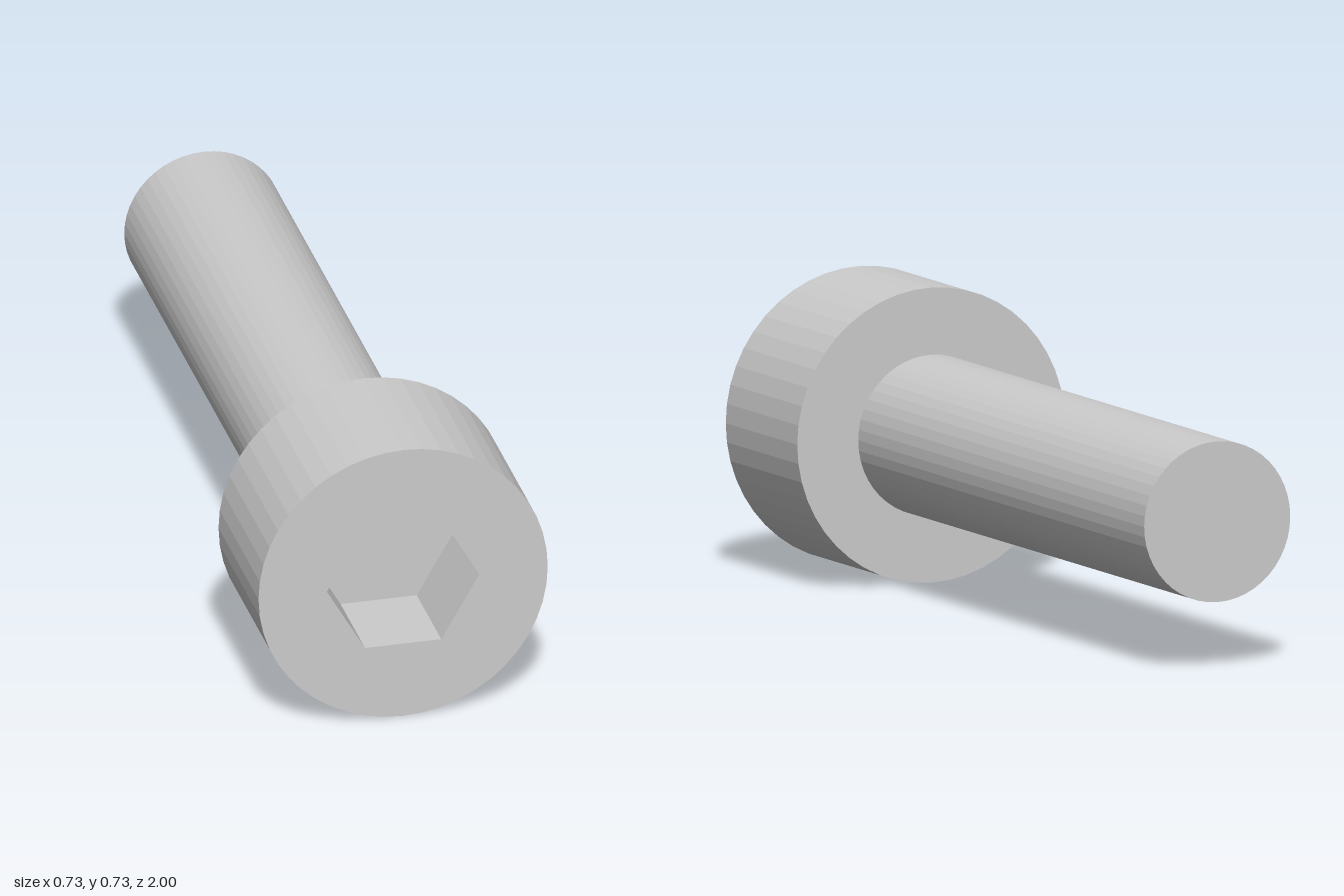
import * as THREE from 'three';

const HEAD_RADIUS = 0.367, SHANK_RADIUS = 0.2, HEX_RADIUS = 0.1935;
const FRONT = 1, HEAD_BACK = 0.6, TIP = -1, SOCKET_DEPTH = 0.245;
const SIDES = 48;

// corners of a regular polygon, with one corner on +x
function polygon(radius, sides) {
  return Array.from({ length: sides }, (_, i) => {
    const a = (i / sides) * Math.PI * 2;
    return new THREE.Vector2(radius * Math.cos(a), radius * Math.sin(a));
  });
}

export function createModel() {
  const model = new THREE.Group();
  model.name = 'socketHeadBolt';
  const material = new THREE.MeshStandardMaterial({ color: 0xcccccc, flatShading: true });

  function add(name, geometry, z) {
    const mesh = new THREE.Mesh(geometry, material);
    mesh.name = name;
    mesh.position.set(0, HEAD_RADIUS, z);
    model.add(mesh);
  }

  // round head with a hexagonal hole; the shank closes the hole at the back
  const outline = new THREE.Shape(polygon(HEAD_RADIUS, SIDES));
  outline.holes.push(new THREE.Path(polygon(HEX_RADIUS, 6)));
  add('head', new THREE.ExtrudeGeometry(outline, { depth: FRONT - HEAD_BACK, bevelEnabled: false }), HEAD_BACK);

  // floor of the hexagonal socket
  add('socketFloor', new THREE.ShapeGeometry(new THREE.Shape(polygon(HEX_RADIUS, 6))), FRONT - SOCKET_DEPTH);

  // plain shank running back from the head
  const length = HEAD_BACK - TIP;
  const shank = new THREE.CylinderGeometry(SHANK_RADIUS, SHANK_RADIUS, length, SIDES).rotateX(Math.PI / 2);
  add('shank', shank, TIP + length / 2);

  return model;
}
